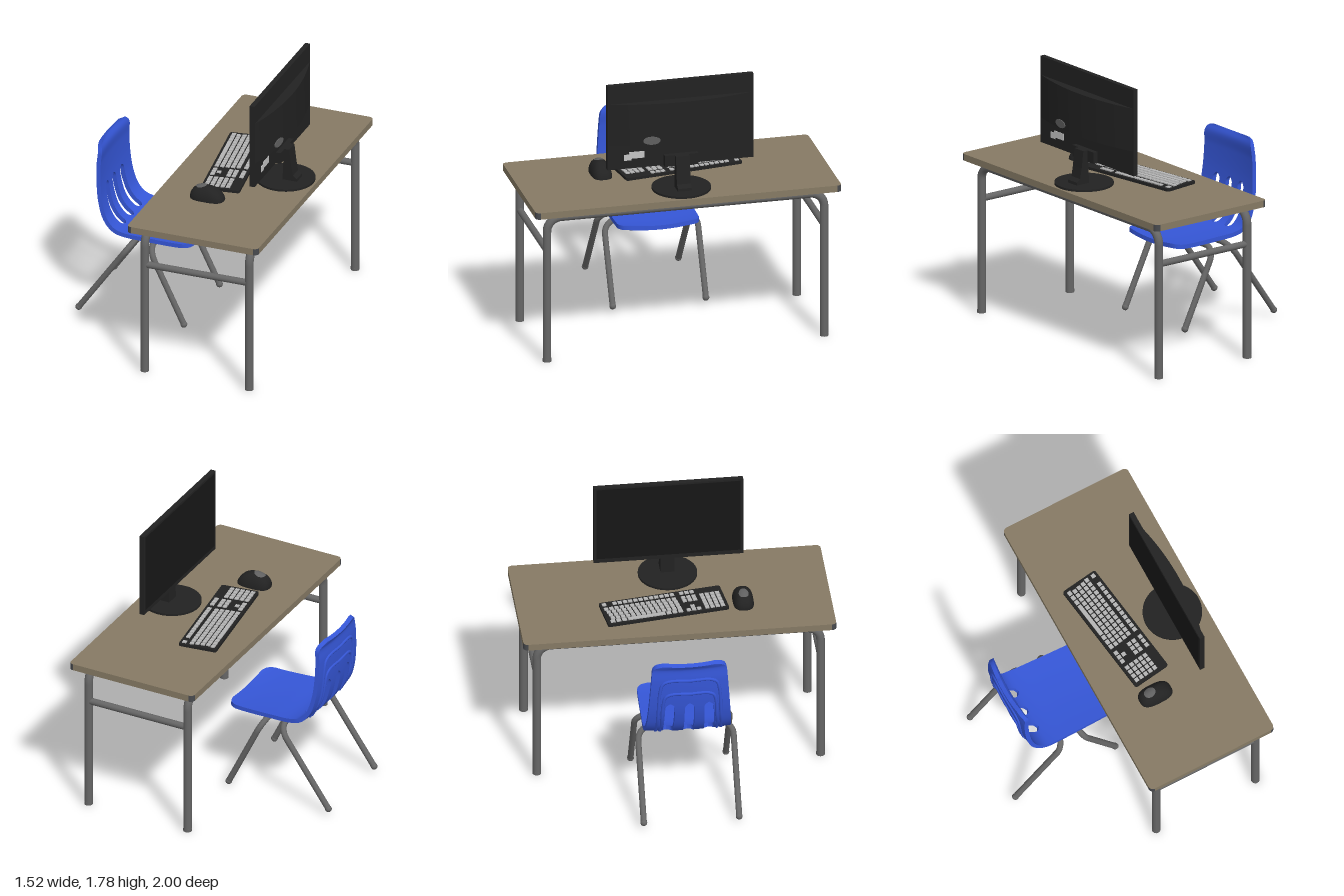
import * as THREE from 'three';
import { mergeGeometries, toCreasedNormals } from 'three/addons/utils/BufferGeometryUtils.js';

const mat = (name, color, side = THREE.FrontSide) => {
  const m = new THREE.MeshStandardMaterial({ color, side });
  m.name = name;
  return m;
};
const V = (x, y, z) => new THREE.Vector3(x, y, z);

export function createModel() {
  const wood = mat('desk tan', 0x867a64);
  const steel = mat('steel grey', 0x666666);
  const corner = mat('corner grey', 0x484a4e);
  const blue = mat('chair blue', 0x3556d6);
  const dark = mat('plastic black', 0x222222);
  const glass = mat('screen black', 0x171717);
  const keyGrey = mat('key grey', 0xb4b4b4);
  const patchGrey = mat('patch grey', 0x606060, THREE.DoubleSide);
  const white = mat('label white', 0xc4c4c4);

  const model = new THREE.Group();
  const add = (name, geo, material, parent = model) => {
    const m = new THREE.Mesh(geo, material);
    m.name = name;
    parent.add(m);
    return m;
  };
  const group = (name) => {
    const g = new THREE.Group();
    g.name = name;
    model.add(g);
    return g;
  };
  const box = (w, h, d, x, y, z) => new THREE.BoxGeometry(w, h, d).translate(x, y, z);
  const roundRect = (w, h, r) => {
    const s = new THREE.Shape(), a = w / 2, b = h / 2;
    s.absarc(a - r, b - r, r, 0, Math.PI / 2);
    s.absarc(-a + r, b - r, r, Math.PI / 2, Math.PI);
    s.absarc(-a + r, -b + r, r, Math.PI, Math.PI * 1.5);
    s.absarc(a - r, -b + r, r, Math.PI * 1.5, Math.PI * 2);
    return s;
  };
  const slab = (shape, h) => new THREE.ExtrudeGeometry(shape, { depth: h, bevelEnabled: false, curveSegments: 8 })
    .rotateX(-Math.PI / 2);

  // Upside-down U of bent tube: two feet at +-hz joined by a top bar
  const uFrame = (fx, fy, tx, ty, hz, bend, r) => {
    const path = new THREE.CurvePath();
    const up = V(tx - fx, ty - fy, 0).normalize();
    const near = (s) => V(tx, ty, s * hz).addScaledVector(up, -bend);
    const arc = (s, a, b) => {
      const k = 0.55 * bend;
      const c1 = near(s).addScaledVector(up, k), c2 = V(tx, ty, s * (hz - bend + k));
      const bar = V(tx, ty, s * (hz - bend));
      return s < 0 ? new THREE.CubicBezierCurve3(near(s), c1, c2, bar) : new THREE.CubicBezierCurve3(bar, c2, c1, near(s));
    };
    path.add(new THREE.LineCurve3(V(fx, fy, -hz), near(-1)));
    path.add(arc(-1));
    path.add(new THREE.LineCurve3(V(tx, ty, -hz + bend), V(tx, ty, hz - bend)));
    path.add(arc(1));
    path.add(new THREE.LineCurve3(near(1), V(fx, fy, hz)));
    return new THREE.TubeGeometry(path, 160, r, 14);
  };

  // Desk
  const desk = group('desk');
  add('deskTop', slab(roundRect(0.893, 2, 0.03), 0.044).translate(0.312, 1.009, 0), wood, desk);
  for (const sx of [-1, 1]) for (const sz of [-1, 1]) {
    const start = sx > 0 ? (sz > 0 ? 0 : Math.PI / 2) : (sz > 0 ? -Math.PI / 2 : Math.PI);
    add('deskCorner', new THREE.CylinderGeometry(0.031, 0.031, 0.0435, 8, 1, true, start, Math.PI / 2)
      .translate(0.312 + sx * 0.4165, 1.031, sz * 0.97), corner, desk);
  }
  for (const x of [-0.047, 0.667]) {
    add('deskFrame', uFrame(x, 0.01, x, 0.979, 0.907, 0.09, 0.0275), steel, desk);
    for (const s of [-1, 1])
      add('deskFoot', new THREE.CylinderGeometry(0.028, 0.028, 0.02, 14).translate(x, 0.01, s * 0.907), steel, desk);
  }
  for (const s of [-1, 1])
    add('crossBar', new THREE.CylinderGeometry(0.022, 0.022, 0.714, 14).rotateZ(Math.PI / 2)
      .translate(0.31, 0.757, s * 0.907), steel, desk);

  // Chair shell: one bent sheet running from the seat front to the top of the back
  const chair = group('chair');
  const profile = new THREE.CatmullRomCurve3([
    [0.013, 0.585], [-0.1, 0.58], [-0.3, 0.585], [-0.45, 0.594], [-0.52, 0.618], [-0.573, 0.68],
    [-0.606, 0.78], [-0.622, 0.9], [-0.626, 1.05], [-0.622, 1.14], [-0.642, 1.178],
  ].map(([x, y]) => V(x, y, 0)));
  profile.arcLengthDivisions = 600;
  const L = profile.getLength();
  const halfWidth = (s) => {
    const w = s < 0.5 ? 0.265 + 0.03 * s : 0.28 - 0.045 * (s - 0.5) / (L - 0.5);
    const r = 0.07, d = Math.min(s, L - s, r);
    return w - r + Math.sqrt(r * r - (r - d) ** 2);
  };
  const shellPoint = (s, u, offset) => {
    const t = Math.min(1, Math.max(0, s / L));
    const p = profile.getPointAt(t), q = profile.getTangentAt(t);
    const o = offset - 0.014 * (1 - u * u);
    return V(p.x + q.y * o, p.y - q.x * o, u * halfWidth(s));
  };
  // Slot width fades to nothing with round ends
  const slot = (s) => {
    const r = 0.035, d = Math.min(s - 0.5, 0.82 - s, r);
    return d <= 0 ? 0 : 0.12 * Math.sqrt(1 - ((r - d) / r) ** 2);
  };
  const strip = (from, to) => {
    const R = 100, M = 6, n = 2 * M + 2, pos = [], idx = [];
    for (let i = 0; i <= R; i++) {
      const s = L * i / R, w = slot(s), a = from(w), b = to(w);
      for (let k = 0; k < n; k++) {
        const top = k <= M, u = a + (b - a) * (top ? k : n - 1 - k) / M;
        pos.push(...shellPoint(s, u, top ? 0.014 : -0.014).toArray());
      }
    }
    for (let i = 0; i < R; i++) for (let k = 0; k < n; k++) {
      const a = i * n + k, b = i * n + (k + 1) % n;
      idx.push(a, a + n, b, b, a + n, b + n);
    }
    for (let k = 0; k < M; k++) {
      const a = k, b = k + 1, c = n - 1 - k, d = n - 2 - k, e = R * n;
      idx.push(a, b, c, b, d, c, e + a, e + c, e + b, e + b, e + c, e + d);
    }
    const g = new THREE.BufferGeometry();
    g.setAttribute('position', new THREE.Float32BufferAttribute(pos, 3));
    g.setIndex(idx);
    return g;
  };
  const c = 0.48;
  add('chairShell', toCreasedNormals(mergeGeometries([
    strip(() => -1, (w) => -c - w), strip((w) => -c + w, (w) => -w),
    strip((w) => w, (w) => c - w), strip((w) => c + w, () => 1),
  ]), 0.7), blue, chair);
  // Raised ribs on the rear of the back
  for (const [u, top] of [[0.76, 1.0], [0.66, 0.9]]) {
    const half = [[0.56, u], [0.7, u], [top - 0.08, u], [top - 0.02, u * 0.92], [top, u * 0.7]];
    const pts = [...half.map(([s, v]) => [s, -v]), [top, 0], ...half.reverse()];
    add('backRib', new THREE.TubeGeometry(new THREE.CatmullRomCurve3(
      pts.map(([s, v]) => shellPoint(s, v, -0.013))), 60, 0.011, 8), blue, chair);
  }
  // Chair legs
  for (const [fx, fy, tx] of [[-0.738, 0.042, -0.385], [-0.02, 0.05, -0.26]]) {
    add('chairLegs', uFrame(fx, fy, tx, 0.543, 0.305, 0.09, 0.0195), steel, chair);
    for (const s of [-1, 1])
      add('chairFoot', new THREE.SphereGeometry(0.022, 14, 10).translate(fx, fy, s * 0.305), steel, chair);
  }

  // Monitor, its screen turned towards the chair
  const monitor = group('monitor');
  add('panel', box(0.033, 0.572, 0.956, 0.515, 1.496, 0), dark, monitor);
  add('screen', box(0.004, 0.53, 0.92, 0.4975, 1.505, 0), glass, monitor);
  const bulgeX = (z) => 0.531 + 0.067 * (1 - (z / 0.47) ** 2);
  const bulge = new THREE.Shape();
  for (let i = 0; i <= 24; i++) {
    const z = -0.47 + 0.94 * i / 24;
    bulge[i ? 'lineTo' : 'moveTo'](bulgeX(z), z);
  }
  add('rearHousing', toCreasedNormals(slab(bulge, 0.284).translate(0, 1.373, 0), 0.5), dark, monitor);
  add('base', new THREE.CylinderGeometry(0.189, 0.189, 0.014, 48).translate(0.555, 1.06, 0), dark, monitor);
  const neck = new THREE.Shape([[0.55, 1.06], [0.65, 1.06], [0.648, 1.085], [0.622, 1.105], [0.61, 1.17],
    [0.596, 1.285], [0.56, 1.285]].map(([x, y]) => new THREE.Vector2(x, y)));
  add('neck', new THREE.ExtrudeGeometry(neck, { depth: 0.09, bevelEnabled: false }).translate(0, 0, -0.045), dark, monitor);
  add('neckMount', box(0.035, 0.075, 0.22, 0.546, 1.247, 0), dark, monitor);
  const oval = add('rearPatch', new THREE.CylinderGeometry(1, 1, 0.006, 24).rotateZ(Math.PI / 2)
    .scale(1, 0.027, 0.055), patchGrey, monitor);
  oval.position.set(bulgeX(0.2) + 0.002, 1.408, 0.2);
  oval.rotation.y = -0.12;
  add('rearLabel', box(0.004, 0.045, 0.1, 0.533, 1.298, 0.285), white, monitor);
  add('rearLabelEnd', box(0.004, 0.04, 0.05, 0.533, 1.285, 0.345), white, monitor);

  // Keyboard, turned slightly
  const keyboard = group('keyboard');
  keyboard.position.set(0.18, 1.053, -0.067);
  keyboard.rotation.y = 0.139;
  add('keyboardBody', slab(roundRect(0.253, 0.793, 0.015), 0.018), dark, keyboard);
  const keys = [];
  const key = (x, z, len = 0.026, wide = 0.026) => keys.push(box(wide, 0.008, len, x, 0.021, z));
  const rows = [-0.095, -0.06, -0.025, 0.01, 0.045, 0.095];
  rows.forEach((x, r) => {
    if (r === 0) {
      for (const z of [-0.36, -0.322, -0.284, 0.008, 0.046, 0.084]) key(x, z, 0.03);
      key(x, -0.138, 0.245);
    } else {
      const shift = [0, 0.016, 0.012, 0.008, 0, 0][r];
      for (let i = 0; i < 14; i++) if (r !== 5 || i !== 1) key(x, -0.368 + shift + i * 0.0342 * (1 - shift));
    }
    // Navigation keys and number pad
    for (let i = 0; i < 3; i++) if (r > 2 || r === 0 || (r === 1 && i === 1)) key(x, 0.138 + i * 0.034);
    for (let i = 0; i < 4; i++) if (r < 5) key(x, 0.259 + i * 0.034);
  });
  add('keys', mergeGeometries(keys), keyGrey, keyboard);

  // Mouse: a squarish dome with a grey patch
  const mouse = group('mouse');
  mouse.position.set(0.197, 1.053, 0.44);
  const dome = new THREE.SphereGeometry(1, 32, 16, 0, Math.PI * 2, 0, Math.PI / 2);
  const p = dome.attributes.position;
  for (let i = 0; i < p.count; i++) {
    const x = p.getX(i), y = p.getY(i), z = p.getZ(i);
    const r = Math.hypot(x, z) || 1;
    const k = r / Math.pow((Math.abs(x) ** 3 + Math.abs(z) ** 3) || 1, 1 / 3);
    p.setXYZ(i, x * k * 0.112 - 0.015 * y, y * 0.092, z * k * 0.066);
  }
  dome.computeVertexNormals();
  add('mouseBody', dome, dark, mouse);
  const patch = new THREE.RingGeometry(0.001, 1, 24, 4).rotateX(-Math.PI / 2).scale(0.038, 1, 0.032).translate(-0.04, 0, 0);
  const q = patch.attributes.position;
  for (let i = 0; i < q.count; i++) {
    const dx = (q.getX(i) + 0.014) / 0.112, dz = q.getZ(i) / 0.066;
    q.setY(i, 0.092 * Math.sqrt(Math.max(0, 1 - dx * dx - dz * dz)) + 0.004);
  }
  patch.computeVertexNormals();
  add('mousePatch', patch, patchGrey, mouse);

  return model;
}
